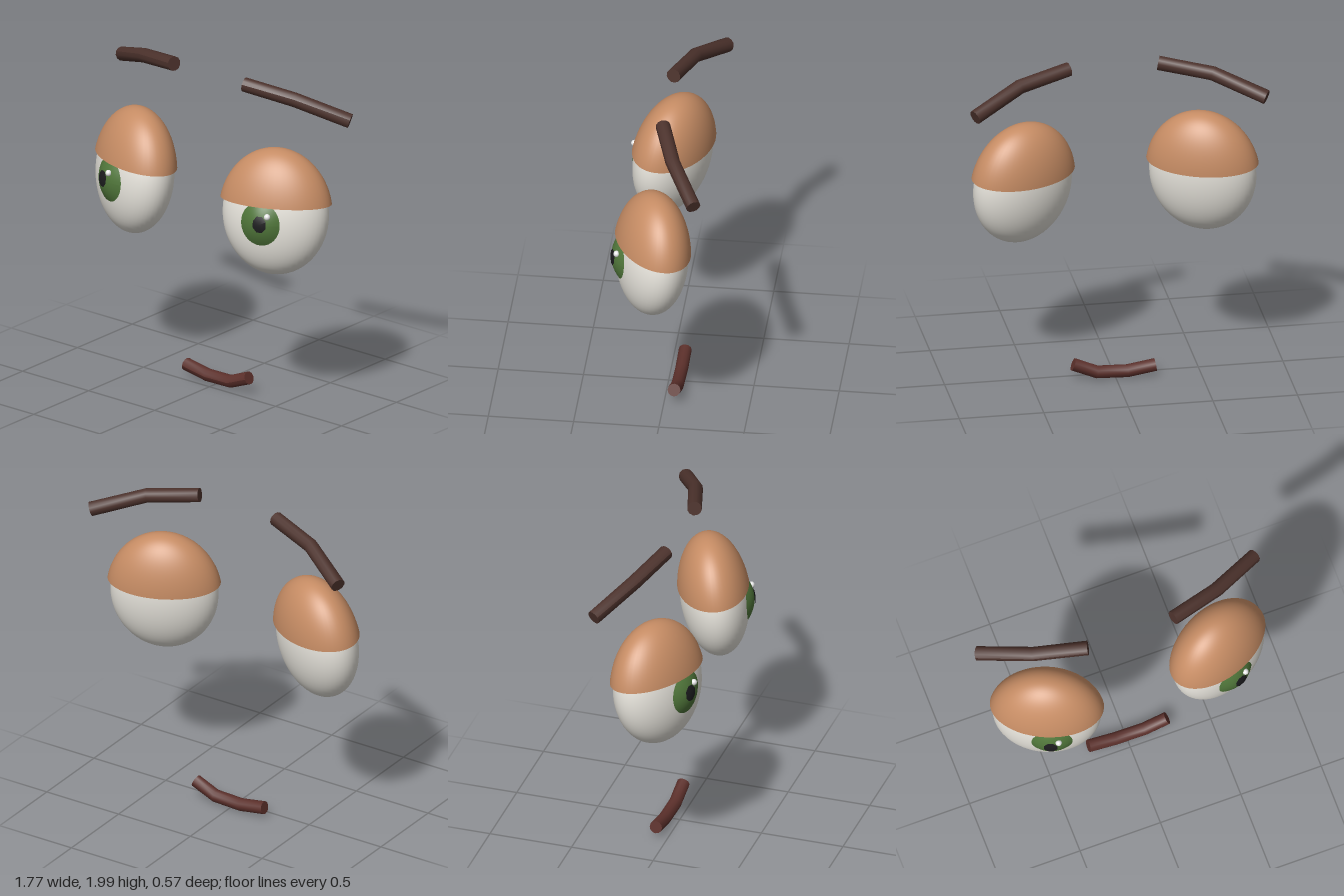
import * as THREE from 'three';

const mat = (name, color, side = THREE.FrontSide) => {
  const m = new THREE.MeshStandardMaterial({ color, side });
  m.name = name;
  return m;
};

// Eyeball radii, local to each eye
const RX = 0.318, RY = 0.367, RZ = 0.2;

function add(parent, name, geometry, material) {
  const mesh = new THREE.Mesh(geometry, material);
  mesh.name = name;
  parent.add(mesh);
  return mesh;
}

// Height of the eyeball's front surface at local (u, v)
const surfaceZ = (u, v) => RZ * Math.sqrt(1 - (u / RX) ** 2 - (v / RY) ** 2);

// Iris bulge above the eyeball
const IRIS = { u: -0.04, v: -0.025, rx: 0.12, ry: 0.131, lift: 0.032 };
const irisZ = (u, v, s) => {
  const r2 = ((u - s * IRIS.u) / IRIS.rx) ** 2 + ((v - IRIS.v) / IRIS.ry) ** 2;
  return surfaceZ(u, v) + IRIS.lift * Math.max(0, 1 - r2);
};

// Elliptical patch draped over the front of the eye
function patch(cu, cv, rx, ry, sides, heightAt, start = 0) {
  const g = new THREE.RingGeometry(0, 1, sides, 8, start);
  const p = g.attributes.position;
  for (let i = 0; i < p.count; i++) {
    const u = cu + rx * p.getX(i), v = cv + ry * p.getY(i);
    p.setXYZ(i, u, v, heightAt(u, v));
  }
  g.computeVertexNormals();
  return g;
}

// Capped rod bent through a few points
function rod(points, radius, sides = 12) {
  const pts = points.map(p => new THREE.Vector3(...p));
  const n = pts.length - 1;
  const g = new THREE.CylinderGeometry(radius, radius, 1, sides, n);
  const pos = g.attributes.position;
  const up = new THREE.Vector3(0, 1, 0), q = new THREE.Quaternion();
  for (let i = 0; i < pos.count; i++) {
    const k = Math.round((pos.getY(i) + 0.5) * n);
    const before = pts[k].clone().sub(pts[Math.max(k - 1, 0)]).normalize();
    const after = pts[Math.min(k + 1, n)].clone().sub(pts[k]).normalize();
    q.setFromUnitVectors(up, before.add(after).normalize());
    const v = new THREE.Vector3(pos.getX(i), 0, pos.getZ(i)).applyQuaternion(q).add(pts[k]);
    pos.setXYZ(i, v.x, v.y, v.z);
  }
  g.computeVertexNormals();
  return g;
}

export function createModel() {
  const model = new THREE.Group();
  model.name = 'face';
  const white = mat('eye white', 0xe6e3db);
  const skin = mat('eyelid skin', 0xc68c64, THREE.DoubleSide);
  const green = mat('iris green', 0x50763a, THREE.DoubleSide);
  const black = mat('pupil black', 0x1c1c1e, THREE.DoubleSide);
  const shine = mat('highlight white', 0xffffff);
  const browBrown = mat('brow brown', 0x4c322c);
  const lipBrown = mat('mouth brown', 0x5c302b);

  for (const s of [1, -1]) {
    const side = s > 0 ? 'left' : 'right';
    const eye = new THREE.Group();
    eye.name = side + 'Eye';
    eye.position.set(s * 0.533, 1.232, 0.037);
    eye.rotation.set(-0.1, s * 0.41, 0, 'YXZ');
    model.add(eye);

    add(eye, side + 'Eyeball', new THREE.SphereGeometry(1, 48, 32).scale(RX, RY, RZ), white);

    // Half-closed lid: an open cap slightly larger than the eyeball
    const lid = new THREE.SphereGeometry(1.07, 48, 20, 0, Math.PI * 2, 0, Math.PI * 0.436);
    add(eye, side + 'Eyelid', lid.scale(RX, RY, RZ), skin);

    add(eye, side + 'Iris', patch(s * IRIS.u, IRIS.v, IRIS.rx, IRIS.ry, 40,
      (u, v) => irisZ(u, v, s)), green);
    add(eye, side + 'Pupil', patch(s * -0.034, -0.018, 0.043, 0.052, 8,
      (u, v) => irisZ(u, v, s) + 0.005, Math.PI / 8), black);

    // The highlights sit on the same side of both pupils
    const hu = s > 0 ? 0.01 : 0.08, hv = 0.03;
    const spot = add(eye, side + 'Highlight', new THREE.SphereGeometry(0.019, 16, 12), shine);
    spot.position.set(hu, hv, irisZ(hu, hv, s) + 0.002);

    // Brow sweeping down and back towards the temple
    add(model, side + 'Brow', rod([
      [s * 0.265, 1.957, 0.003], [s * 0.57, 1.908, -0.09], [s * 0.862, 1.801, -0.245],
    ], 0.043), browBrown);
  }

  // Lopsided smile
  add(model, 'mouth', rod([
    [-0.235, 0.072, -0.07], [-0.07, 0.044, -0.068], [0.11, 0.048, -0.064], [0.25, 0.105, -0.06],
  ], 0.038), lipBrown);

  return model;
}
